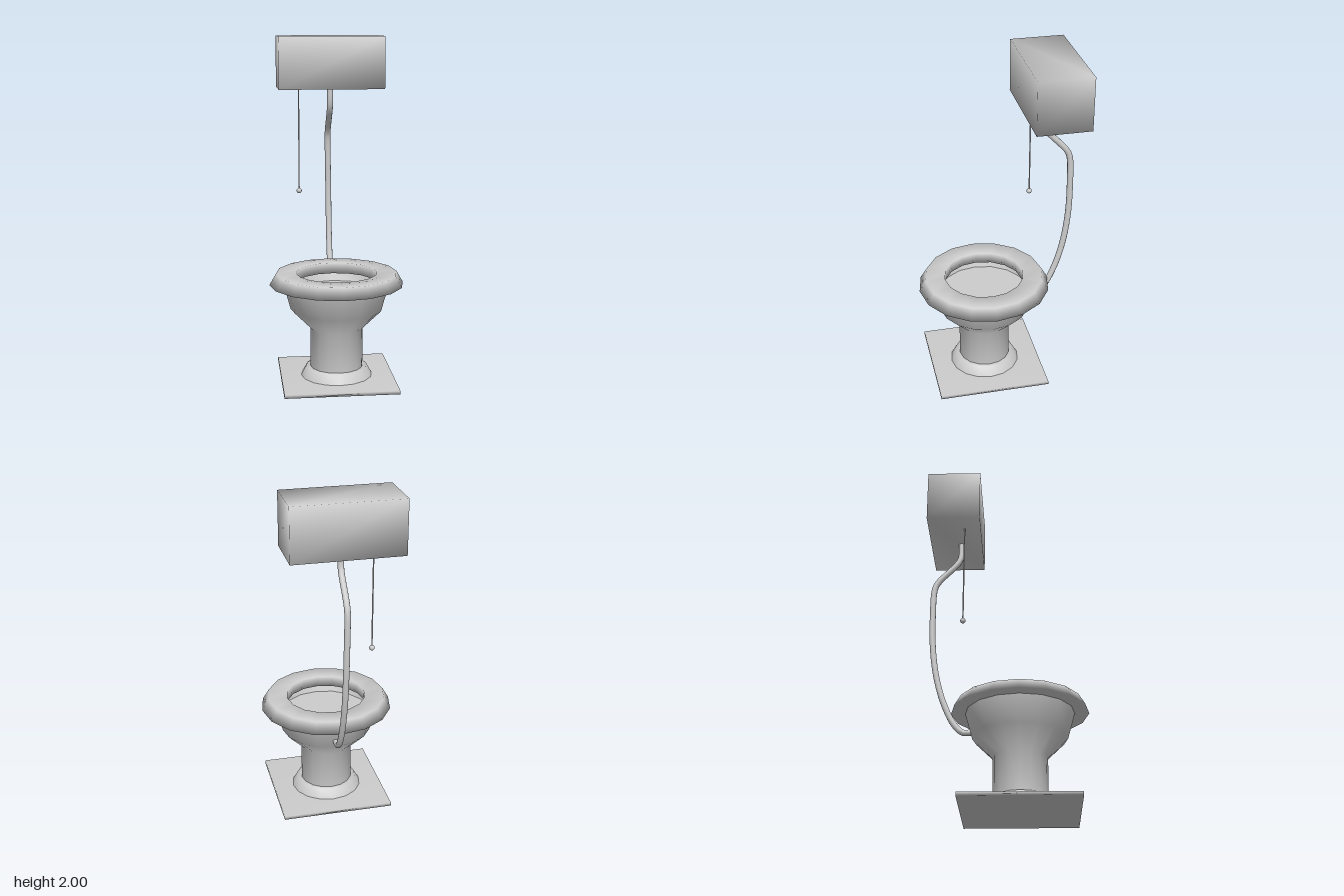
import * as THREE from 'three';
import { mergeVertices } from 'three/addons/utils/BufferGeometryUtils.js';

const porcelain = new THREE.MeshStandardMaterial({ color: 0xcccccc });
porcelain.name = 'porcelain grey';

const BOWL_Z = 0.072;

// Share corner vertices so that normals run smoothly over every edge
function soften(geometry) {
  geometry.deleteAttribute('normal');
  geometry.deleteAttribute('uv');
  const merged = mergeVertices(geometry, 1e-4);
  merged.computeVertexNormals();
  return merged;
}

export function createModel() {
  const group = new THREE.Group();
  group.name = 'highCisternToilet';

  function add(name, geometry, x = 0, y = 0, z = 0) {
    const mesh = new THREE.Mesh(geometry, porcelain);
    mesh.name = name;
    mesh.position.set(x, y, z);
    group.add(mesh);
    return mesh;
  }

  function turned(name, profile) {
    const points = profile.map(([r, y]) => new THREE.Vector2(r, y));
    return add(name, soften(new THREE.LatheGeometry(points, 16)), 0, 0, BOWL_Z);
  }

  // Floor plate and flared foot
  add('floorPlate', soften(new THREE.BoxGeometry(0.66, 0.02, 0.664)), 0, 0.01, BOWL_Z);
  turned('foot', [[0.21, 0.02], [0.18, 0.075], [0.15, 0.075]]);

  // Pedestal and bowl, with the inner wall running down to the water
  turned('bowl', [[0.155, 0.02], [0.155, 0.31], [0.27, 0.425], [0.312, 0.578]]);
  turned('bowlInside', [[0.29, 0.576], [0.27, 0.52]]);
  const water = add('water', new THREE.CircleGeometry(0.272, 16), 0, 0.52, BOWL_Z);
  water.rotation.x = -Math.PI / 2;

  // Ring seat with sloping outer edge
  turned('seat', [[0.237, 0.575], [0.393, 0.575], [0.355, 0.64], [0.237, 0.64], [0.237, 0.575]]);

  // Cistern
  add('cistern', soften(new THREE.BoxGeometry(0.63, 0.31, 0.312)), 0, 1.845, -0.31);

  // Flush pipe: down from the cistern, back, then curving into the bowl
  const path = [
    [0, 1.71, -0.28], [0, 1.61, -0.28], [0, 1.565, -0.295], [0, 1.43, -0.415],
    [0, 1.385, -0.436], [0.003, 1.2, -0.444], [0.005, 1.0, -0.438], [0.005, 0.8, -0.41],
    [0.005, 0.63, -0.36], [0.005, 0.51, -0.3], [0.005, 0.465, -0.25], [0.005, 0.47, -0.19],
  ].map((p) => new THREE.Vector3(...p));
  const curve = new THREE.CatmullRomCurve3(path, false, 'centripetal');
  add('flushPipe', new THREE.TubeGeometry(curve, 48, 0.018, 10));

  // Pull chain and knob
  add('pullChain', new THREE.CylinderGeometry(0.004, 0.004, 0.62, 6), -0.192, 1.39, -0.25);
  add('pullKnob', new THREE.SphereGeometry(0.016, 12, 8), -0.192, 1.075, -0.25);

  return group;
}
